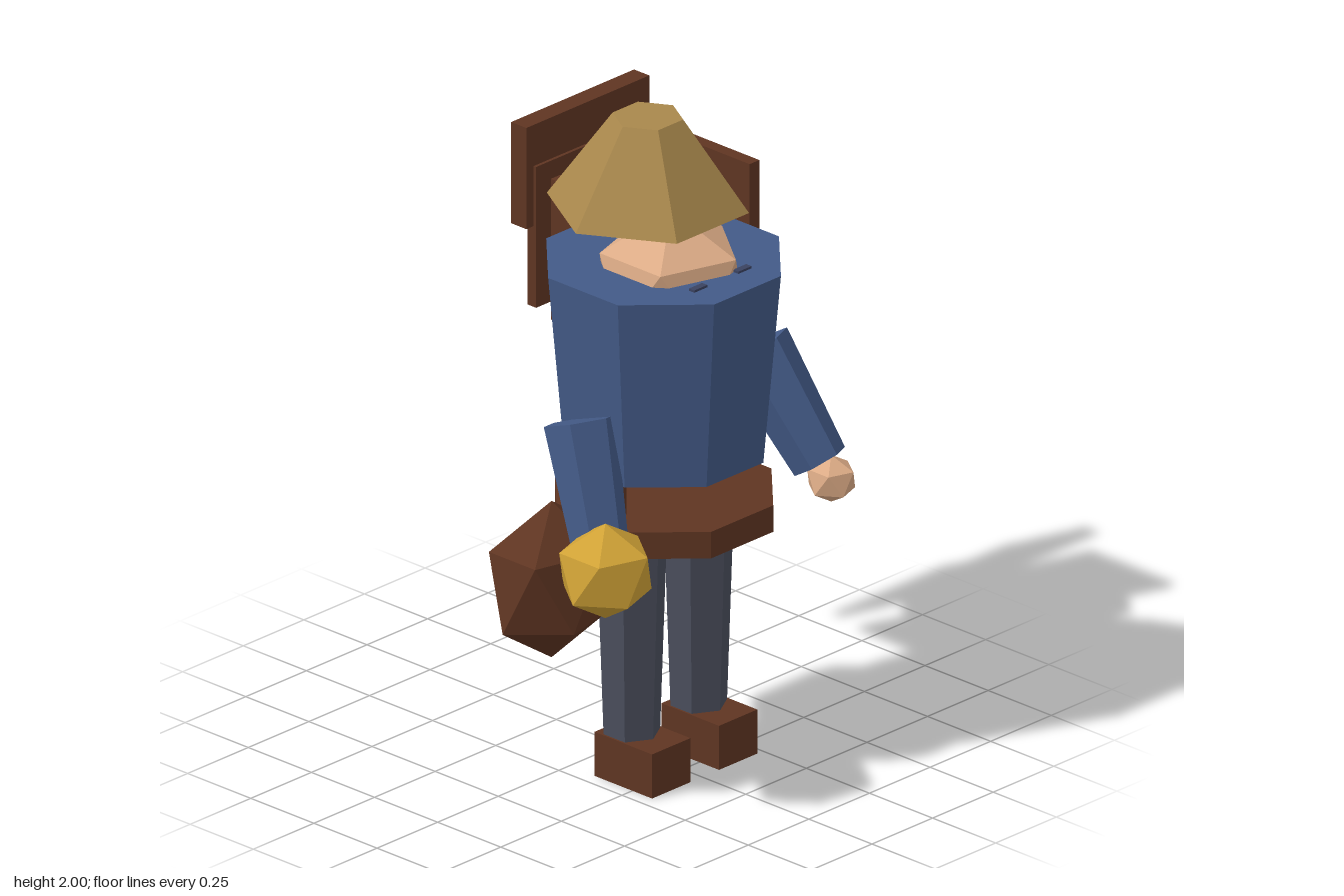
import * as THREE from 'three';
import { ConvexGeometry } from 'three/addons/geometries/ConvexGeometry.js';

const flat = (name, color) => {
  const m = new THREE.MeshStandardMaterial({ color, flatShading: true });
  m.name = name;
  return m;
};

// Twenty-sided ball standing on a corner, with poles at top and bottom
function icoBall(rx, ry, rz) {
  const pts = [new THREE.Vector3(0, ry, 0), new THREE.Vector3(0, -ry, 0)];
  for (let i = 0; i < 5; i++) {
    const a = (i * Math.PI * 2) / 5;
    const x = 0.894 * Math.cos(a) * rx, z = 0.894 * Math.sin(a) * rz;
    pts.push(new THREE.Vector3(x, 0.447 * ry, z), new THREE.Vector3(-x, -0.447 * ry, z));
  }
  return new ConvexGeometry(pts);
}

export function createModel() {
  const blue = flat('coat blue', 0x435a87);
  const navy = flat('eye navy', 0x3a4260);
  const brown = flat('leather brown', 0x5f3522);
  const straw = flat('hat straw', 0xa8874c);
  const skin = flat('skin', 0xdcab86);
  const gold = flat('lantern gold', 0xd0a236);
  const grey = flat('trouser grey', 0x4a4e5c);

  const model = new THREE.Group();
  const add = (name, geo, mat, x, y, z) => {
    const mesh = new THREE.Mesh(geo, mat);
    mesh.name = name;
    mesh.position.set(x, y, z);
    model.add(mesh);
    return mesh;
  };
  // Box given by its lower and upper corners
  const box = (name, mat, [x0, y0, z0], [x1, y1, z1]) =>
    add(name, new THREE.BoxGeometry(x1 - x0, y1 - y0, z1 - z0), mat,
      (x0 + x1) / 2, (y0 + y1) / 2, (z0 + z1) / 2);
  // Upright tapered prism between two heights
  const prism = (name, mat, rTop, rBottom, y0, y1, sides, turn, x, z) =>
    add(name, new THREE.CylinderGeometry(rTop, rBottom, y1 - y0, sides).rotateY(turn), mat,
      x, (y0 + y1) / 2, z);
  // Six-sided sleeve from shoulder to wrist
  const sleeve = (name, from, to) => {
    const a = new THREE.Vector3(...from), b = new THREE.Vector3(...to);
    const axis = a.clone().sub(b);
    const mid = a.add(b).multiplyScalar(0.5);
    const mesh = add(name, new THREE.CylinderGeometry(0.108, 0.084, axis.length(), 6), blue, mid.x, mid.y, mid.z);
    mesh.quaternion.setFromUnitVectors(new THREE.Vector3(0, 1, 0), axis.normalize());
  };

  // Body
  prism('coat', blue, 0.36, 0.306, 0.983, 1.577, 8, Math.PI / 8, 0.007, 0.168);
  prism('belt', brown, 0.335, 0.335, 0.77, 0.853, 8, Math.PI / 8, 0.01, 0.167);
  add('head', icoBall(0.235, 0.217, 0.229), skin, 0.01, 1.518, 0.195);
  prism('hat', straw, 0.104, 0.2975, 1.728, 2, 6, Math.PI / 6, 0.007, 0.106);

  // Eyes, legs and shoes
  for (const [side, s] of [['left', 1], ['right', -1]]) {
    const x = 0.01 + s * 0.138;
    box(side + 'Eye', navy, [s * 0.091 - 0.02, 1.576, 0.382], [s * 0.091 + 0.034, 1.584, 0.403]);
    prism(side + 'Leg', grey, 0.104, 0.084, 0.13, 0.728, 6, 0, x, 0.172);
    box(side + 'Shoe', brown, [x - 0.079, 0, 0.1], [x + 0.079, 0.138, 0.328]);
  }

  // Arms and hands
  sleeve('leftSleeve', [0.36, 1.19, 0.19], [0.42, 0.872, 0.39]);
  sleeve('rightSleeve', [-0.335, 1.175, 0.165], [-0.385, 0.83, 0.295]);
  add('leftHand', icoBall(0.076, 0.073, 0.08), skin, 0.413, 0.838, 0.442);
  add('rightHand', icoBall(0.076, 0.073, 0.08), skin, -0.395, 0.785, 0.335);

  // Lantern in the right hand
  add('lantern', icoBall(0.15, 0.148, 0.15), gold, -0.457, 0.812, 0.383);

  // Hip pouch and its strap
  add('pouch', icoBall(0.226, 0.245, 0.174), brown, -0.433, 0.705, 0.147);
  box('pouchStrap', brown, [-0.255, 0.695, 0.158], [-0.197, 1.01, 0.217]);

  // Pack with side boards and two back boards
  add('pack', icoBall(0.315, 0.317, 0.27), brown, 0.348, 1.408, -0.193);
  for (const x of [0.095, 0.562]) {
    box('packSideBoard', brown, [x, 1.187, -0.363], [x + 0.04, 1.628, -0.024]);
  }
  box('packLowerBoard', brown, [0.125, 1.187, -0.485], [0.573, 1.628, -0.45]);
  box('packUpperBoard', brown, [0.095, 1.44, -0.52], [0.602, 1.757, -0.46]);

  return model;
}
